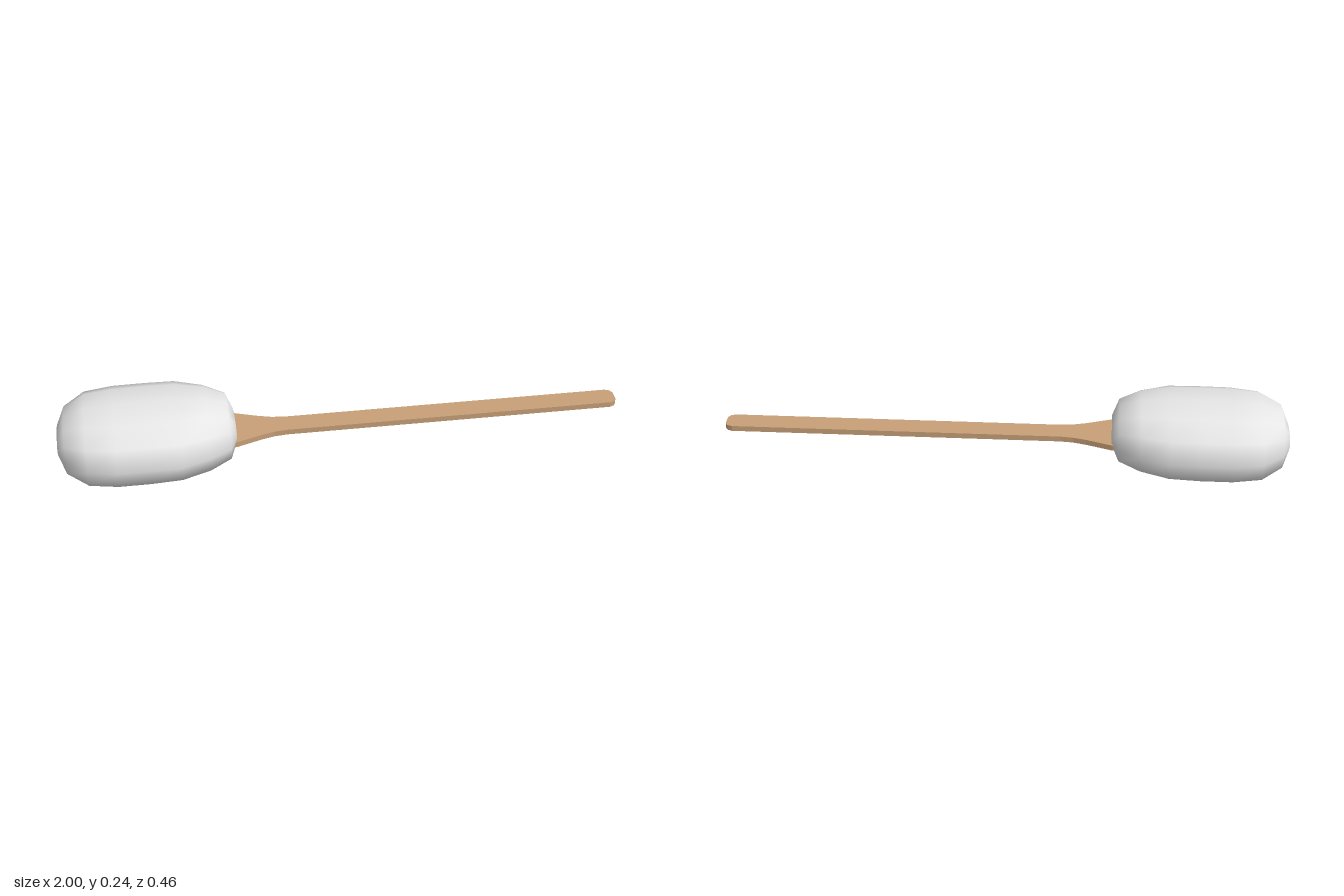
import * as THREE from 'three';

// Smooth closed head lofted from twelve-sided rings along x: [x, halfWidth, bottom, top]
function loftHead(rings, sides = 12) {
  const pos = [], idx = [];
  const mid = 0.109;
  for (const [x, w, bottom, top] of rings) {
    for (let i = 0; i < sides; i++) {
      const a = (i / sides) * Math.PI * 2;
      const c = Math.cos(a);
      // slightly squared cross-section
      const h = Math.sign(c) * Math.pow(Math.abs(c), c < 0 ? 0.5 : 0.8);
      pos.push(x, mid + h * (c > 0 ? top - mid : mid - bottom), w * Math.sin(a));
    }
  }
  for (let r = 0; r < rings.length - 1; r++) {
    for (let i = 0; i < sides; i++) {
      const j = (i + 1) % sides;
      const a = r * sides + i, b = r * sides + j, c = a + sides, d = b + sides;
      idx.push(a, b, c, b, d, c);
    }
  }
  // end caps
  const last = (rings.length - 1) * sides;
  for (let i = 1; i < sides - 1; i++) {
    idx.push(0, i + 1, i, last, last + i, last + i + 1);
  }
  const geo = new THREE.BufferGeometry();
  geo.setAttribute('position', new THREE.Float32BufferAttribute(pos, 3));
  geo.setIndex(idx);
  geo.computeVertexNormals();
  return geo;
}

export function createModel() {
  const group = new THREE.Group();
  const white = new THREE.MeshStandardMaterial({ color: 0xe8e8e8 });
  white.name = 'soft white';
  const wood = new THREE.MeshStandardMaterial({ color: 0xc8a078 });
  wood.name = 'light wood';

  // Padded head
  const head = new THREE.Mesh(loftHead([
    [-1.0, 0.075, 0.085, 0.14],
    [-0.973, 0.145, 0.028, 0.203],
    [-0.9, 0.21, 0.004, 0.233],
    [-0.8, 0.23, 0.0, 0.238],
    [-0.69, 0.23, 0.0, 0.24],
    [-0.58, 0.228, 0.006, 0.239],
    [-0.48, 0.19, 0.014, 0.231],
    [-0.405, 0.145, 0.034, 0.206],
    [-0.38, 0.08, 0.08, 0.145],
  ]), white);
  head.name = 'head';
  group.add(head);

  // Flat stick: flared at the head, clipped corners at the free end
  const half = [[-0.41, 0.096], [-0.38, 0.09], [-0.29, 0.058], [-0.245, 0.046],
    [-0.2, 0.041], [0.975, 0.041], [0.992, 0.034], [1.0, 0.02]];
  const outline = [...half.map(([x, z]) => [x, -z]), ...half.slice().reverse()];
  const stickGeo = new THREE.ExtrudeGeometry(
    new THREE.Shape(outline.map(([x, z]) => new THREE.Vector2(x, z))),
    { depth: 0.02, bevelEnabled: false });
  stickGeo.rotateX(-Math.PI / 2).translate(0, 0.078, 0);
  const stick = new THREE.Mesh(stickGeo, wood);
  stick.name = 'stick';
  group.add(stick);

  return group;
}
